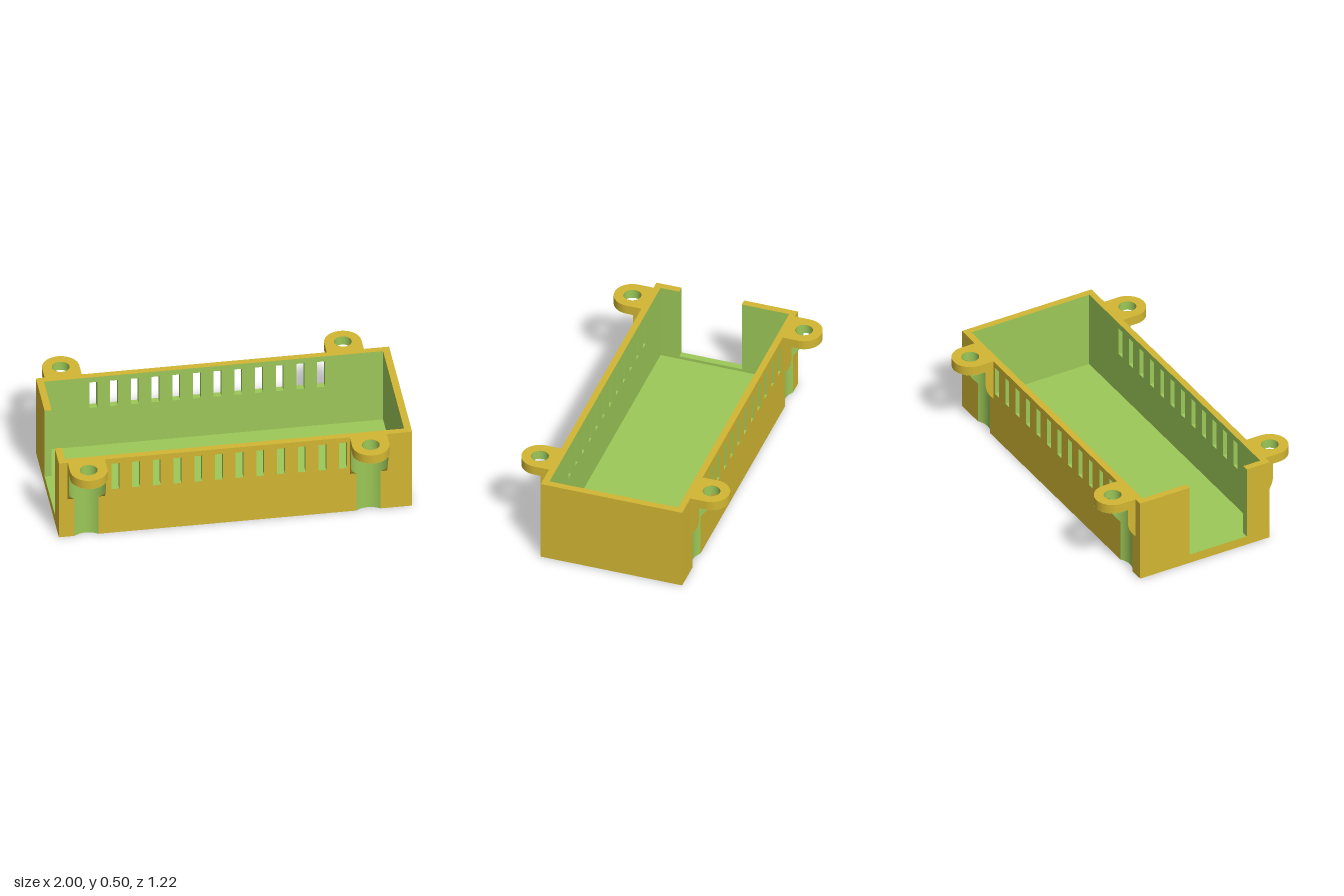
import * as THREE from 'three';

const H = 0.505, W = 0.418, IW = 0.38, IX = 0.96;      // height, outer / inner half sizes
const FLOOR = 0.038, NOTCH_Y = 0.055, NZ0 = -0.1, NZ1 = 0.27;
const EAR_X = [-0.845, 0.752], EAR_Z = 0.507, EAR_R = 0.105, EAR_Y = 0.45, HOLE_R = 0.05;
const BORE = 0.112, CHORD = Math.sqrt(BORE ** 2 - (EAR_Z - W) ** 2);
const BRACKET_Y = 0.255, CURVE_Y = 0.365;

export function createModel() {
  const mat = (name, color) => {
    const m = new THREE.MeshStandardMaterial({ color, side: THREE.DoubleSide });
    m.name = name;
    return m;
  };
  const yellow = mat('yellow shell', 0xd2b632), green = mat('green cut faces', 0x9cc858);
  const model = new THREE.Group();
  model.name = 'enclosure';

  const add = (parent, name, geo, material, x = 0, y = 0, z = 0) => {
    const mesh = new THREE.Mesh(geo, material);
    mesh.name = name;
    mesh.position.set(x, y, z);
    parent.add(mesh);
    return mesh;
  };
  const poly = (pts) => new THREE.Shape(pts.map((p) => new THREE.Vector2(...p)));
  const rect = (x0, y0, x1, y1) => [[x0, y0], [x1, y0], [x1, y1], [x0, y1]];
  const withHoles = (pts, holes) => {
    const s = poly(pts);
    s.holes = holes.map((h) => new THREE.Path(h.map((p) => new THREE.Vector2(...p))));
    return new THREE.ShapeGeometry(s);
  };
  const flat = (geo) => geo.rotateX(Math.PI / 2);      // shape y becomes z
  const end = (geo) => geo.rotateY(-Math.PI / 2);      // shape x becomes z

  // Grid surface with fn(u index, v index) -> [x, y, z]
  const surface = (nu, nv, fn) => {
    const g = new THREE.PlaneGeometry(1, 1, nu, nv);
    for (let j = 0; j <= nv; j++)
      for (let i = 0; i <= nu; i++) g.attributes.position.setXYZ(j * (nu + 1) + i, ...fn(i, j));
    g.computeVertexNormals();
    return g;
  };
  // Flat-sided band swept from a line of points along an offset
  const band = (pts, off) => {
    const g = surface(pts.length - 1, 1, (i, j) => pts[i].map((c, k) => c + off[k] * j)).toNonIndexed();
    g.computeVertexNormals();
    return g;
  };
  const closed = (pts) => [...pts, pts[0]];

  // Long walls: outer skin with screw channels, inner skin, vent slots
  const slots = Array.from({ length: 12 }, (_, i) => {
    const x = -0.68 + i * 0.1172;
    return rect(x - 0.022, 0.297, x + 0.022, 0.471);
  });
  const outline = [[-1, 0]];
  EAR_X.forEach((x) => outline.push([x - CHORD, 0], [x - CHORD, EAR_Y], [x + CHORD, EAR_Y], [x + CHORD, 0]));
  outline.push([1, 0], [1, H], [-1, H]);
  for (const s of [1, -1]) {
    add(model, 'longWallOutside', withHoles(outline, slots), yellow, 0, 0, s * W);
    add(model, 'longWallInside', withHoles(rect(-IX, FLOOR, IX, H), slots), green, 0, 0, s * IW);
    slots.forEach((r) => add(model, 'ventSlot',
      band(closed(r).map(([x, y]) => [x, y, s * IW]), [0, 0, s * (W - IW)]), green));
  }

  // End walls, the -x one with a cable opening
  const notched = (half, base) => poly([[-half, base], [half, base], [half, H],
    [NZ1, H], [NZ1, NOTCH_Y], [NZ0, NOTCH_Y], [NZ0, H], [-half, H]]);
  add(model, 'endWallOutside', end(new THREE.ShapeGeometry(poly(rect(-W, 0, W, H)))), yellow, 1);
  add(model, 'endWallInside', end(new THREE.ShapeGeometry(poly(rect(-IW, FLOOR, IW, H)))), green, IX);
  add(model, 'openEndOutside', end(new THREE.ShapeGeometry(notched(W, 0))), yellow, -1);
  add(model, 'openEndInside', end(new THREE.ShapeGeometry(notched(IW, FLOOR))), green, -IX);
  add(model, 'cableOpening', band([[-1, H, NZ0], [-1, NOTCH_Y, NZ0], [-1, NOTCH_Y, NZ1], [-1, H, NZ1]],
    [1 - IX, 0, 0]), green);

  // Rim and inner floor
  add(model, 'rim', flat(new THREE.ShapeGeometry(poly([[-1, -W], [1, -W], [1, W], [-1, W], [-1, NZ1],
    [-IX, NZ1], [-IX, IW], [IX, IW], [IX, -IW], [-IX, -IW], [-IX, NZ0], [-1, NZ0]]))), yellow, 0, H);
  add(model, 'floor', flat(new THREE.ShapeGeometry(poly(rect(-IX, -IW, IX, IW)))), green, 0, FLOOR);

  // Underside with channel bites and an engraved arrow
  const edge = (s) => EAR_X.flatMap((x) => Array.from({ length: 13 }, (_, i) => {
    const a = (i / 6 - 1) * Math.asin(CHORD / BORE);
    return [x + BORE * Math.sin(a), s * (EAR_Z - BORE * Math.cos(a))];
  }));
  const az = 0.084;
  const arrow = [[0.83, az], [0.72, az + 0.064], [0.72, az + 0.02], [0.475, az + 0.02],
    [0.475, az - 0.02], [0.72, az - 0.02], [0.72, az - 0.064]];
  add(model, 'underside', flat(withHoles(
    [[-1, -W], ...edge(-1), [1, -W], [1, W], ...edge(1).reverse(), [-1, W]], [arrow])), yellow);
  add(model, 'arrowRecess', flat(new THREE.ShapeGeometry(poly(arrow))), green, 0, 0.02);
  add(model, 'arrowEdge', band(closed(arrow).map(([x, z]) => [x, 0, z]), [0, 0.02, 0]), green);

  // Mounting ears with brackets and screw channels
  const reach = (y) => {                               // bracket depth at height y
    if (y <= BRACKET_Y) return W;
    const d = Math.max(0, CURVE_Y - y);
    return Math.max(W, 0.326 + Math.sqrt(0.142 ** 2 - d * d));
  };
  const halfCut = (y) => Math.min(EAR_R, Math.sqrt(BORE ** 2 - (EAR_Z - reach(y)) ** 2));
  const curve = Array.from({ length: 13 }, (_, i) => BRACKET_Y + (CURVE_Y - BRACKET_Y) * i / 12);
  const bracketRows = [...curve, EAR_Y], channelRows = [0, ...bracketRows];
  const earShape = (back) => {
    const s = new THREE.Shape();
    s.moveTo(-EAR_R, back).lineTo(EAR_R, back).lineTo(EAR_R, EAR_Z);
    s.absarc(0, EAR_Z, EAR_R, 0, Math.PI, false);
    s.closePath();
    s.holes.push(new THREE.Path().absarc(0, EAR_Z, HOLE_R, 0, Math.PI * 2, true));
    return s;
  };

  const makeEar = () => {
    const ear = new THREE.Group();
    ear.name = 'mountingEar';
    const plate = new THREE.ExtrudeGeometry(earShape(W), { depth: H - EAR_Y, bevelEnabled: false, curveSegments: 24 });
    add(ear, 'earPlate', flat(plate), yellow, 0, H);
    add(ear, 'earUnderside', flat(new THREE.ShapeGeometry(earShape(W - 0.03), 24)), green, 0, EAR_Y - 0.001);
    add(ear, 'screwHole', new THREE.CylinderGeometry(HOLE_R - 0.001, HOLE_R - 0.001, H - EAR_Y, 32, 1, true),
      green, 0, (H + EAR_Y) / 2, EAR_Z);
    add(ear, 'screwChannel', surface(24, channelRows.length - 1, (i, j) => {
      const y = channelRows[j], a = (i / 12 - 1) * Math.asin(halfCut(y) / BORE);
      return [BORE * Math.sin(a), y, EAR_Z - BORE * Math.cos(a)];
    }), green);
    for (const s of [1, -1]) {
      add(ear, 'bracketFront', surface(1, bracketRows.length - 1, (i, j) => {
        const y = bracketRows[j];
        return [s * (i ? EAR_R : halfCut(y)), y, reach(y)];
      }), yellow);
      add(ear, 'bracketSide', surface(1, bracketRows.length - 1, (i, j) =>
        [s * EAR_R, bracketRows[j], i ? reach(bracketRows[j]) : W]), yellow);
    }
    return ear;
  };
  for (const x of EAR_X)
    for (const turn of [0, Math.PI]) {
      const ear = makeEar();
      ear.position.x = x;
      ear.rotation.y = turn;
      model.add(ear);
    }
  return model;
}
